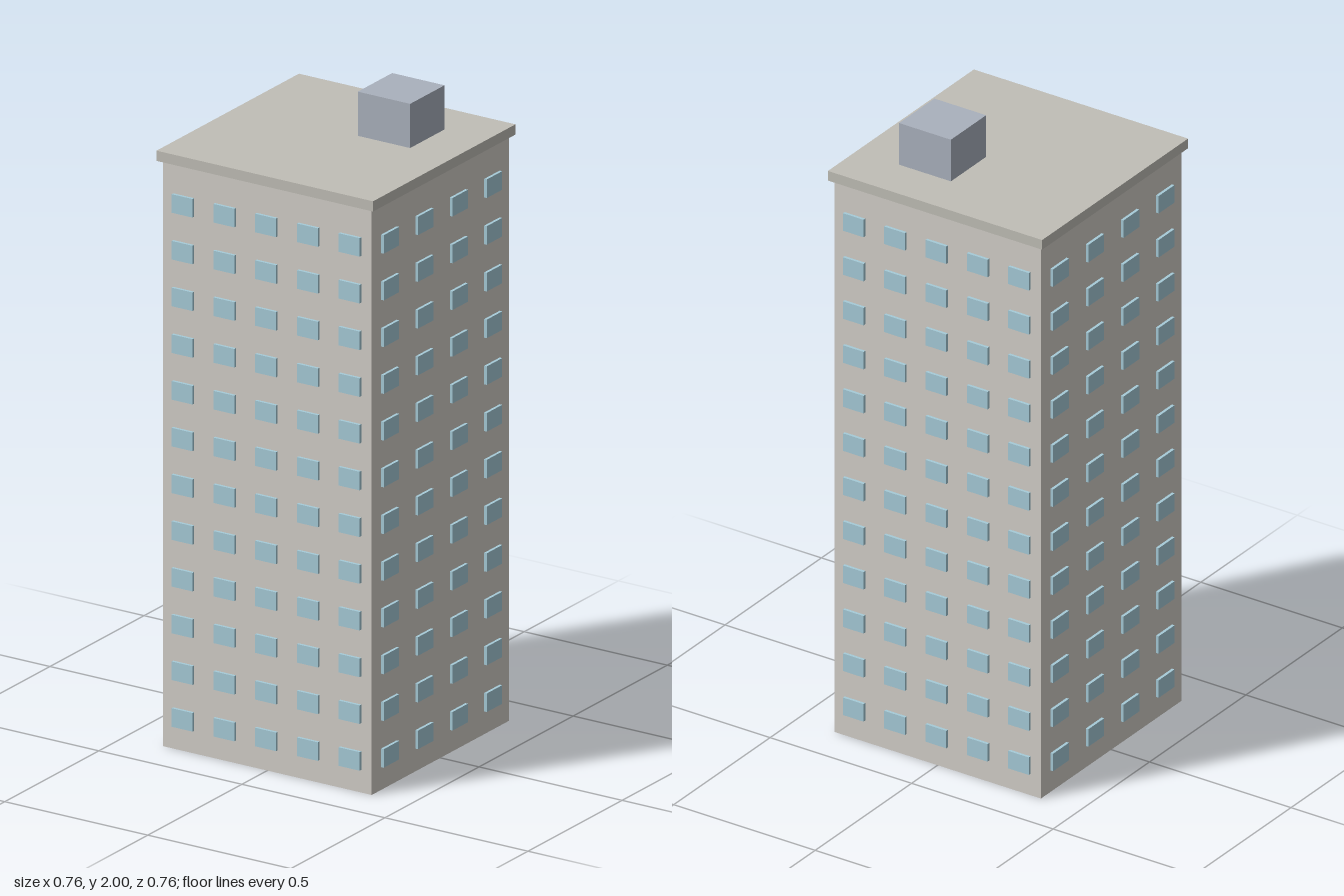
import * as THREE from 'three';

const WIDTH = 0.73, HEIGHT = 1.83, FLOORS = 12, FLOOR_STEP = 0.146, FIRST_WINDOW = 0.1;

const paint = (color) => new THREE.MeshStandardMaterial({ color });

function box(name, [w, h, d], [x, y, z], material) {
  const mesh = new THREE.Mesh(new THREE.BoxGeometry(w, h, d), material);
  mesh.name = name;
  mesh.position.set(x, y, z);
  return mesh;
}

// One wall's grid of slightly raised window panes, facing +z before turning
function facade(name, columns, paneWidth, angle, material) {
  const group = new THREE.Group();
  group.name = name;
  const bay = WIDTH / columns;
  for (let floor = 0; floor < FLOORS; floor++) {
    for (let c = 0; c < columns; c++) {
      const x = (c - (columns - 1) / 2) * bay;
      const y = FIRST_WINDOW + floor * FLOOR_STEP;
      group.add(box('window', [paneWidth, 0.058, 0.018], [x, y, WIDTH / 2], material));
    }
  }
  group.rotation.y = angle;
  return group;
}

export function createModel() {
  const model = new THREE.Group();
  model.name = 'apartmentTower';
  const glass = paint(0xa6cbd8);

  // Tower block, overhanging roof slab and rooftop stair hut
  model.add(box('towerBody', [WIDTH, HEIGHT, WIDTH], [0, HEIGHT / 2, 0], paint(0xd2cec8)));
  model.add(box('roofSlab', [0.757, 0.032, 0.757], [0, 1.846, 0], paint(0xc0beb6)));
  model.add(box('rooftopHut', [0.183, 0.138, 0.183], [0.137, 1.931, -0.138], paint(0xaab1bd)));

  // Five windows per floor on front and back, four on the sides
  model.add(facade('frontWindows', 5, 0.073, 0, glass));
  model.add(facade('backWindows', 5, 0.073, Math.PI, glass));
  model.add(facade('leftWindows', 4, 0.082, Math.PI / 2, glass));
  model.add(facade('rightWindows', 4, 0.082, -Math.PI / 2, glass));
  return model;
}
